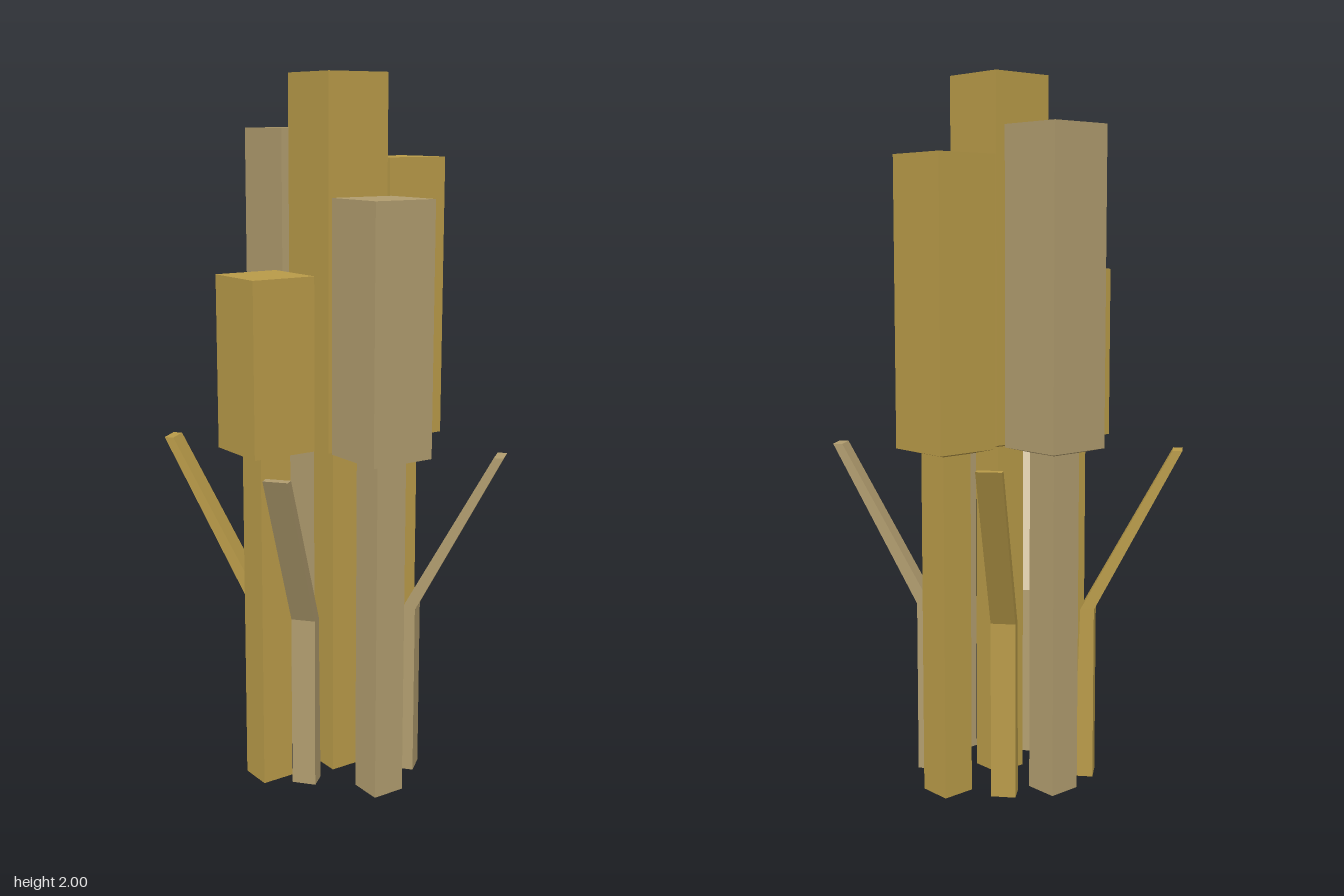
import * as THREE from 'three';

const gold = new THREE.MeshStandardMaterial({ color: 0xb89a48, flatShading: true });
const tan = new THREE.MeshStandardMaterial({ color: 0xb09c6e, flatShading: true });

const STEM_W = 0.096, HEAD_W = 0.194, STEM_TOP = 0.967, HEAD_BASE = 0.98;

function addMesh(parent, name, geometry, material) {
  const mesh = new THREE.Mesh(geometry, material);
  mesh.name = name;
  parent.add(mesh);
  return mesh;
}

// A square stalk: slim stem, shallow flared underside and a tall block head
function createStalk(name, x, z, top, material) {
  const stalk = new THREE.Group();
  stalk.name = name;
  stalk.position.set(x, 0, z);

  const stem = addMesh(stalk, 'stem', new THREE.BoxGeometry(STEM_W, STEM_TOP, STEM_W), material);
  stem.position.y = STEM_TOP / 2;

  const flareGeo = new THREE.CylinderGeometry(
    HEAD_W * Math.SQRT1_2, STEM_W * Math.SQRT1_2, HEAD_BASE - STEM_TOP, 4, 1, true);
  flareGeo.rotateY(Math.PI / 4);
  const flare = addMesh(stalk, 'headUnderside', flareGeo, material);
  flare.position.y = (HEAD_BASE + STEM_TOP) / 2;

  const height = top - HEAD_BASE;
  const head = addMesh(stalk, 'head', new THREE.BoxGeometry(HEAD_W, height, HEAD_W), material);
  head.position.y = HEAD_BASE + height / 2;
  return stalk;
}

// Leaf side profile: upright lower half, then bent outwards and thinning to the tip
const LEAF_W = 0.069;
const leafProfile = new THREE.Shape([
  [0, 0], [0.055, 0], [0.055, 0.5], [0.298, 0.965], [0.271, 0.965], [0.016, 0.5],
].map(([x, y]) => new THREE.Vector2(x, y)));
const leafGeometry = new THREE.ExtrudeGeometry(leafProfile, { depth: LEAF_W, bevelEnabled: false });
leafGeometry.translate(0, 0, -LEAF_W / 2);

export function createModel() {
  const model = new THREE.Group();
  model.name = 'stalkCluster';

  // Five stalks in a cross
  for (const [name, x, z, top, material] of [
    ['centreStalk', 0.006, 0.036, 2.0, gold],
    ['frontStalk', 0.006, 0.246, 1.675, tan],
    ['backStalk', 0.006, -0.193, 1.855, tan],
    ['leftStalk', 0.24, -0.006, 1.775, gold],
    ['rightStalk', -0.206, -0.006, 1.465, gold],
  ]) model.add(createStalk(name, x, z, top, material));

  // Four leaves a quarter turn apart, between the outer stalks
  const firstAngle = Math.atan2(0.64, 0.77);
  [
    ['backLeftLeaf', 0.119, -0.118, gold],
    ['backRightLeaf', -0.121, -0.153, gold],
    ['frontRightLeaf', -0.118, 0.072, tan],
    ['frontLeftLeaf', 0.143, 0.154, tan],
  ].forEach(([name, x, z, material], i) => {
    const leaf = addMesh(model, name, leafGeometry, material);
    leaf.position.set(x, 0, z);
    leaf.rotation.y = firstAngle + i * Math.PI / 2;
  });

  return model;
}
